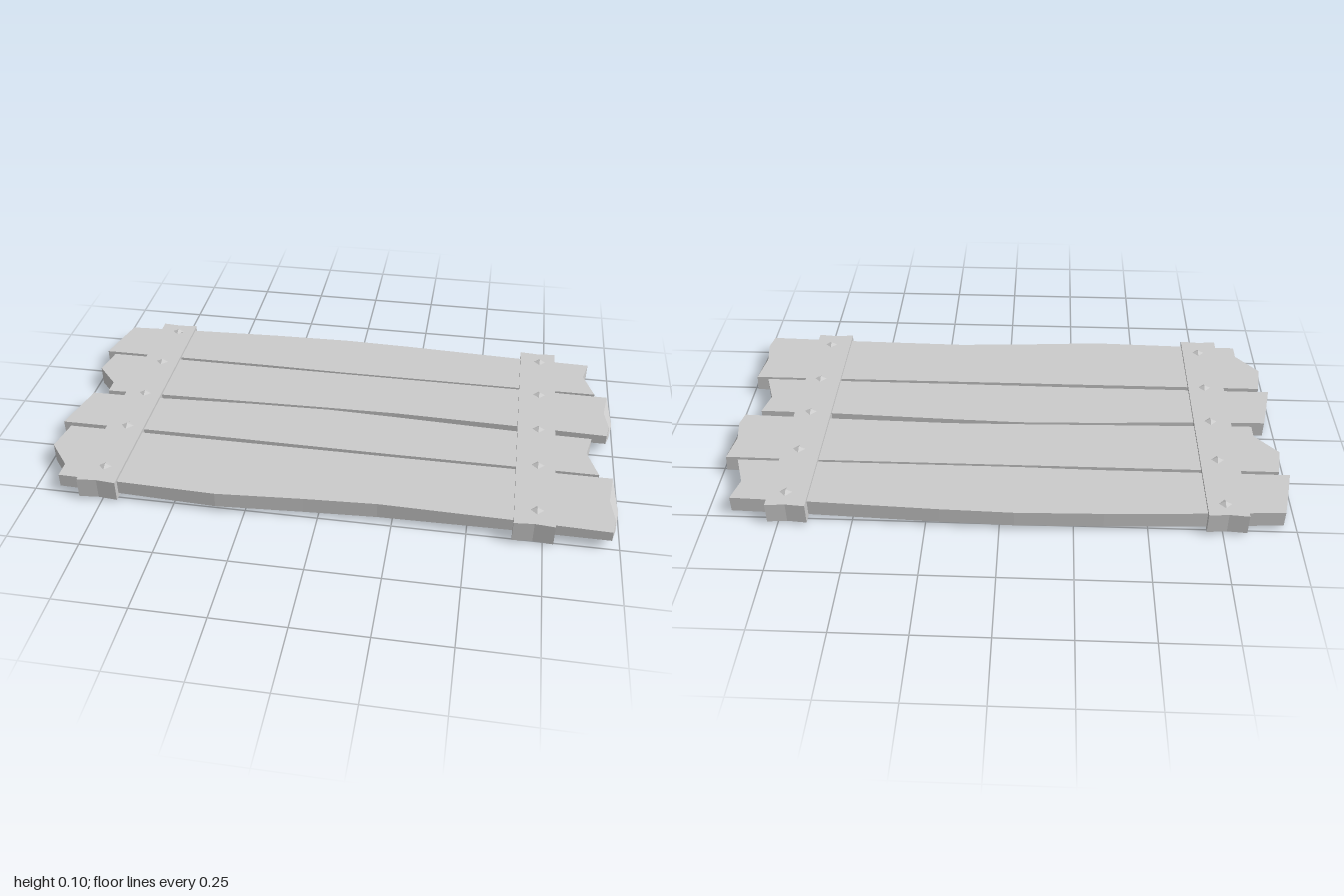
import * as THREE from 'three';

const material = new THREE.MeshStandardMaterial({ color: 0xcccccc, flatShading: true });
const TOP = 0.077, MIDDLE_BOTTOM = 0.02;
const STATIONS = [-0.69, -0.35, -0.05, 0.2, 0.65];

// Plank styles: rows run from the back edge to the front edge.
// Each row: [fraction across, x of left end, x of right end, right end's bottom x,
//            bottom y at left end, bottom y at right end]
const notched = [
  [0, -0.955, 0.915, 0.915, 0.02, 0.02],
  [0.43, -0.975, 0.895, 0.9, 0.005, 0.003],
  [1, -1.0, 0.935, 0.935, 0.025, 0.03],
];
const chipped = [
  [0, -0.965, 0.98, 0.985, 0.02, 0.018],
  [0.43, -0.985, 0.965, 1.0, 0.008, 0.025],
  [0.78, -0.905, 0.98, 0.985, 0.01, 0.034],
  [1, -0.905, 0.97, 0.97, 0.03, 0.042],
];

// Edge z values are given at the left end, the five stations and the right end.
const planks = [
  { name: 'backPlank', rows: notched,
    back: [-0.485, -0.5, -0.515, -0.522, -0.515, -0.495, -0.487],
    front: [-0.29, -0.29, -0.29, -0.285, -0.285, -0.285, -0.285] },
  { name: 'middleBackPlank', rows: chipped,
    back: [-0.275, -0.275, -0.275, -0.275, -0.275, -0.275, -0.272],
    front: [-0.02, -0.025, -0.033, -0.04, -0.044, -0.034, -0.024] },
  { name: 'middleFrontPlank', rows: notched,
    back: [0.003, -0.002, -0.02, -0.028, -0.02, -0.002, 0.002],
    front: [0.2, 0.2, 0.2, 0.203, 0.205, 0.206, 0.208] },
  { name: 'frontPlank', rows: chipped,
    back: [0.22, 0.22, 0.22, 0.22, 0.22, 0.22, 0.22],
    front: [0.5, 0.504, 0.514, 0.493, 0.48, 0.489, 0.5] },
];

function plankGeometry({ rows, back, front }) {
  const last = back.length - 1;
  // Corner i along the length, row r across, on the upper or lower surface
  const corner = (i, r, upper) => {
    const [t, leftX, rightX, rightBottomX, leftY, rightY] = rows[r];
    const x = i === 0 ? leftX : i === last ? (upper ? rightX : rightBottomX) : STATIONS[i - 1];
    const k = THREE.MathUtils.clamp((Math.abs(x) - 0.2) / 0.75, 0, 1);
    const y = upper ? TOP : THREE.MathUtils.lerp(MIDDLE_BOTTOM, x < 0 ? leftY : rightY, k);
    return [x, y, THREE.MathUtils.lerp(back[i], front[i], t)];
  };
  const positions = [];
  const quad = (a, b, c, d) => positions.push(...a, ...b, ...c, ...a, ...c, ...d);
  const f = rows.length - 1;
  for (let i = 0; i < last; i++) {
    for (let r = 0; r < f; r++) {
      quad(corner(i, r, true), corner(i, r + 1, true), corner(i + 1, r + 1, true), corner(i + 1, r, true));
      quad(corner(i, r, false), corner(i + 1, r, false), corner(i + 1, r + 1, false), corner(i, r + 1, false));
    }
    // Long sides
    quad(corner(i, f, true), corner(i, f, false), corner(i + 1, f, false), corner(i + 1, f, true));
    quad(corner(i, 0, true), corner(i + 1, 0, true), corner(i + 1, 0, false), corner(i, 0, false));
  }
  // Broken ends
  for (let r = 0; r < f; r++) {
    quad(corner(0, r, true), corner(0, r, false), corner(0, r + 1, false), corner(0, r + 1, true));
    quad(corner(last, r, true), corner(last, r + 1, true), corner(last, r + 1, false), corner(last, r, false));
  }
  const geometry = new THREE.BufferGeometry();
  geometry.setAttribute('position', new THREE.Float32BufferAttribute(positions, 3));
  geometry.computeVertexNormals();
  return geometry;
}

// Crossbar with slightly hollow ends
function crossbarGeometry(zBack, zFront) {
  const w = 0.0675, dip = 0.006;
  const outline = [[-w, -zFront], [0, -zFront + dip], [w, -zFront], [w, -zBack], [0, -zBack - dip], [-w, -zBack]];
  const shape = new THREE.Shape(outline.map(([x, y]) => new THREE.Vector2(x, y)));
  return new THREE.ExtrudeGeometry(shape, { depth: 0.074, bevelEnabled: false }).rotateX(-Math.PI / 2);
}

export function createModel() {
  const model = new THREE.Group();
  model.name = 'plankPanel';
  const add = (name, geometry, x = 0, y = 0, z = 0) => {
    const mesh = new THREE.Mesh(geometry, material);
    mesh.name = name;
    mesh.position.set(x, y, z);
    model.add(mesh);
  };

  // Planks
  planks.forEach((plank) => add(plank.name, plankGeometry(plank)));

  // Crossbars
  add('rightCrossbar', crossbarGeometry(-0.52, 0.525), -0.7625, 0.013);
  add('leftCrossbar', crossbarGeometry(-0.53, 0.515), 0.7175, 0.013);

  // Four-sided pointed nail heads
  const nail = new THREE.OctahedronGeometry(0.022).scale(1, 0.5, 1);
  for (const x of [-0.755, 0.725])
    for (const z of [-0.463, -0.232, -0.01, 0.202, 0.442]) add('nail', nail, x, 0.09, z);

  return model;
}
